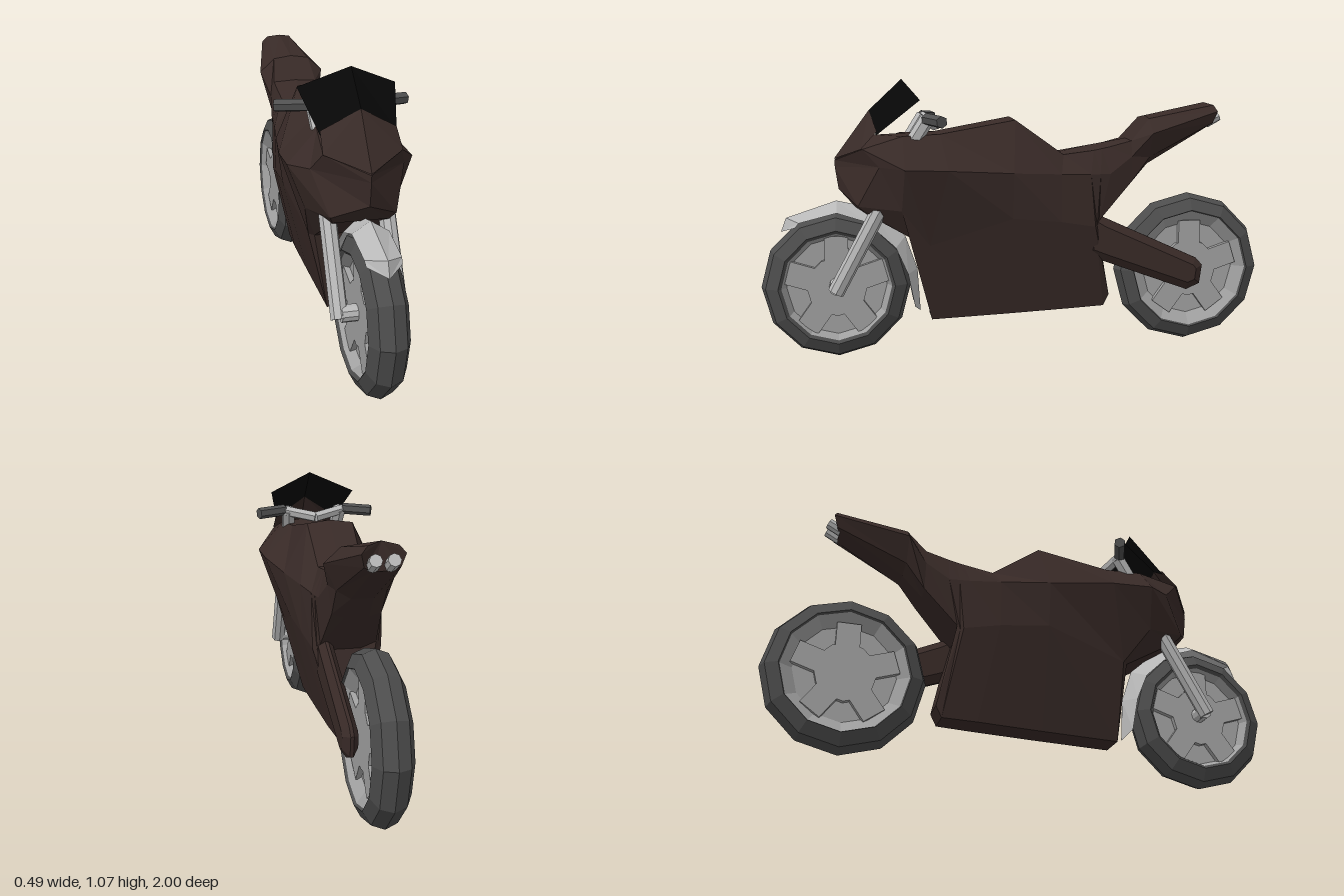
import * as THREE from 'three';

const mat = (color, side = THREE.FrontSide) =>
  new THREE.MeshStandardMaterial({ color, flatShading: true, side });
const grey = mat(0xb8b8b8);
const greyThin = mat(0xb8b8b8, THREE.DoubleSide);
const rimGrey = mat(0xa0a0a0);
const paint = mat(0x382a27);
const paintThin = mat(0x382a27, THREE.DoubleSide);
const rubber = mat(0x4c4c4c);
const gripMat = mat(0x505050);
const glass = mat(0x070707, THREE.DoubleSide);

const V = (p) => new THREE.Vector3(...p);
const flip = ([x, y, z]) => [-x, y, z];

function add(parent, name, geometry, material) {
  const mesh = new THREE.Mesh(geometry, material);
  mesh.name = name;
  parent.add(mesh);
  return mesh;
}

function fromTriangles(tris) {
  const g = new THREE.BufferGeometry();
  g.setAttribute('position', new THREE.Float32BufferAttribute(tris.flat(2), 3));
  g.computeVertexNormals();
  return g;
}

// Closed hull through mirrored half sections, listed front to back, each from top to bottom
function hull(sections) {
  const rings = sections.map((s) => [...s, ...s.slice(1).reverse().map(flip)]);
  const n = rings[0].length, tris = [];
  for (let i = 0; i < rings.length - 1; i++) {
    for (let j = 0; j < n; j++) {
      const k = (j + 1) % n, a = rings[i], b = rings[i + 1];
      tris.push([a[j], a[k], b[k]], [a[j], b[k], b[j]]);
    }
  }
  const first = rings[0], last = rings[rings.length - 1];
  for (let j = 1; j < n - 1; j++) {
    tris.push([first[0], first[j + 1], first[j]], [last[0], last[j], last[j + 1]]);
  }
  return fromTriangles(tris);
}

// Thin ridged sheet: rows of [centre point, left edge point], mirrored across x
function sheet(rows) {
  const tris = [];
  for (let i = 0; i < rows.length - 1; i++) {
    const [c, e] = rows[i], [d, f] = rows[i + 1];
    tris.push([c, d, f], [c, f, e], [c, flip(f), d], [c, flip(e), flip(f)]);
  }
  return fromTriangles(tris);
}

// Straight bar between two points
function bar(parent, name, from, to, radius, sides, material) {
  const a = V(from), b = V(to), dir = b.clone().sub(a);
  const mesh = add(parent, name, new THREE.CylinderGeometry(radius, radius, dir.length(), sides), material);
  mesh.position.copy(a).add(b).multiplyScalar(0.5);
  mesh.quaternion.setFromUnitVectors(new THREE.Vector3(0, 1, 0), dir.normalize());
  return mesh;
}

// Twelve-sided ring around the x axis from [radius, x] points
function ring(parent, name, points, material) {
  const profile = points.map(([r, x]) => new THREE.Vector2(r, x));
  add(parent, name, new THREE.LatheGeometry(profile, 12), material).rotation.z = Math.PI / 2;
}

// Wheel: tyre, sloping rim, recessed disc with broad spokes
function wheel(name, r, rim) {
  const group = new THREE.Group();
  group.name = name;
  ring(group, 'tyre', [
    [rim, -0.06], [r - 0.065, -0.07], [r - 0.018, -0.045], [r, 0],
    [r - 0.018, 0.045], [r - 0.065, 0.07], [rim, 0.06], [rim, -0.06],
  ], rubber);
  ring(group, 'rim', [[0, -0.025], [0.19, -0.025], [rim, -0.06], [rim, 0.06], [0.19, 0.025], [0, 0.025]], rimGrey);
  const hub = new THREE.CylinderGeometry(0.115, 0.115, 0.09, 12);
  add(group, 'hub', hub, rimGrey).rotation.z = Math.PI / 2;
  for (let i = 0; i < 5; i++) {
    const spoke = add(group, 'spoke', new THREE.BoxGeometry(0.09, 0.12, 0.09).translate(0, 0.135, 0), rimGrey);
    spoke.rotation.x = (i / 5) * Math.PI * 2;
  }
  return group;
}

export function createModel() {
  const bike = new THREE.Group();
  bike.name = 'motorcycle';

  // Wheels
  const front = wheel('frontWheel', 0.285, 0.208);
  front.position.set(0, 0.288, 0.715);
  const rear = wheel('rearWheel', 0.305, 0.235);
  rear.position.set(0, 0.31, -0.695);
  bike.add(front, rear);

  // Fairing, tank and belly
  const joint = [[0, 0.825, -0.34], [0.09, 0.812, -0.34], [0.12, 0.71, -0.34], [0.105, 0.525, -0.3], [0.05, 0.5, -0.29]];
  add(bike, 'fairing', hull([
    [[0, 0.775, 0.71], [0, 0.77, 0.712], [0, 0.745, 0.712], [0, 0.66, 0.7], [0, 0.59, 0.64]],
    [[0, 0.865, 0.56], [0.135, 0.82, 0.61], [0.165, 0.755, 0.55], [0.115, 0.605, 0.63], [0.1, 0.575, 0.6]],
    [[0, 0.87, 0.45], [0.12, 0.865, 0.46], [0.225, 0.748, 0.46], [0.165, 0.59, 0.47], [0.11, 0.45, 0.385]],
    [[0, 0.875, 0.34], [0.1, 0.87, 0.32], [0.22, 0.742, 0.3], [0.128, 0.45, 0.365], [0.055, 0.145, 0.355]],
    [[0, 0.93, 0.04], [0.09, 0.92, 0.03], [0.18, 0.725, 0.05], [0.157, 0.55, 0.05], [0.055, 0.155, 0.05]],
    [[0, 0.79, -0.16], [0.085, 0.785, -0.16], [0.148, 0.715, -0.14], [0.145, 0.53, -0.14], [0.055, 0.165, -0.2]],
    [[0, 0.815, -0.28], [0.09, 0.8, -0.28], [0.13, 0.71, -0.26], [0.13, 0.505, -0.28], [0.05, 0.17, -0.335]],
    [[0, 0.82, -0.31], [0.09, 0.806, -0.31], [0.125, 0.71, -0.3], [0.115, 0.505, -0.29], [0.05, 0.215, -0.358]],
    joint,
  ]), paint);

  // Seat and tail
  add(bike, 'tail', hull([
    joint,
    [[0, 0.84, -0.43], [0.09, 0.835, -0.43], [0.105, 0.775, -0.43], [0.09, 0.67, -0.43], [0.045, 0.655, -0.43]],
    [[0, 0.93, -0.51], [0.075, 0.92, -0.505], [0.135, 0.865, -0.505], [0.09, 0.77, -0.505], [0.04, 0.74, -0.51]],
    [[0, 0.98, -0.755], [0.05, 0.97, -0.78], [0.072, 0.945, -0.79], [0.06, 0.9, -0.775], [0.03, 0.885, -0.765]],
  ]), paint);

  // Nose cowl and windscreen
  add(bike, 'noseCowl', sheet([
    [[0, 0.958, 0.58], [0.132, 0.885, 0.555]],
    [[0, 0.775, 0.715], [0.137, 0.82, 0.615]],
  ]), paintThin);
  add(bike, 'windscreen', sheet([
    [[0, 1.075, 0.455], [0.175, 1.0, 0.398]],
    [[0, 0.955, 0.583], [0.132, 0.87, 0.558]],
  ]), glass);

  // Front mudguard
  add(bike, 'frontMudguard', sheet([
    [[0, 0.5, 0.92], [0.06, 0.522, 0.865]],
    [[0, 0.553, 0.9], [0.062, 0.54, 0.85]],
    [[0, 0.615, 0.71], [0.064, 0.575, 0.71]],
    [[0, 0.585, 0.58], [0.065, 0.538, 0.6]],
    [[0, 0.47, 0.45], [0.065, 0.435, 0.49]],
    [[0, 0.34, 0.405], [0.065, 0.33, 0.445]],
    [[0, 0.17, 0.395], [0.06, 0.2, 0.42]],
  ]), greyThin);

  // Fork legs, handlebars, grips and tail lamps
  for (const s of [-1, 1]) {
    const at = (x, y, z) => [s * x, y, z];
    bar(bike, 'forkLeg', at(0.105, 0.278, 0.72), at(0.105, 0.7, 0.49), 0.031, 8, grey);
    bar(bike, 'handlebarRiser', at(0.1, 0.82, 0.435), at(0.11, 0.93, 0.365), 0.028, 6, grey);
    bar(bike, 'handlebar', at(0, 0.9, 0.33), at(0.125, 0.925, 0.37), 0.022, 6, grey);
    bar(bike, 'grip', at(0.125, 0.928, 0.37), at(0.238, 0.922, 0.325), 0.023, 6, gripMat);
    bar(bike, 'tailLamp', at(0.03, 0.9, -0.755), at(0.03, 0.927, -0.805), 0.022, 8, grey);
  }
  bar(bike, 'frontAxle', [-0.1, 0.295, 0.715], [0.1, 0.295, 0.715], 0.03, 10, grey);

  // Single-sided swingarm on the left, outline in (-z, y)
  const arm = new THREE.Shape([
    [0.25, 0.57], [0.335, 0.53], [0.708, 0.36], [0.735, 0.33], [0.725, 0.255], [0.67, 0.232], [0.325, 0.36], [0.25, 0.39],
  ].map(([x, y]) => new THREE.Vector2(x, y)));
  const armGeometry = new THREE.ExtrudeGeometry(arm, {
    depth: 0.012, bevelEnabled: true, bevelThickness: 0.022, bevelSize: 0.03, bevelOffset: -0.03, bevelSegments: 1,
  });
  const swingarm = add(bike, 'swingarm', armGeometry, paint);
  swingarm.rotation.y = Math.PI / 2;
  swingarm.position.x = 0.078;

  return bike;
}
